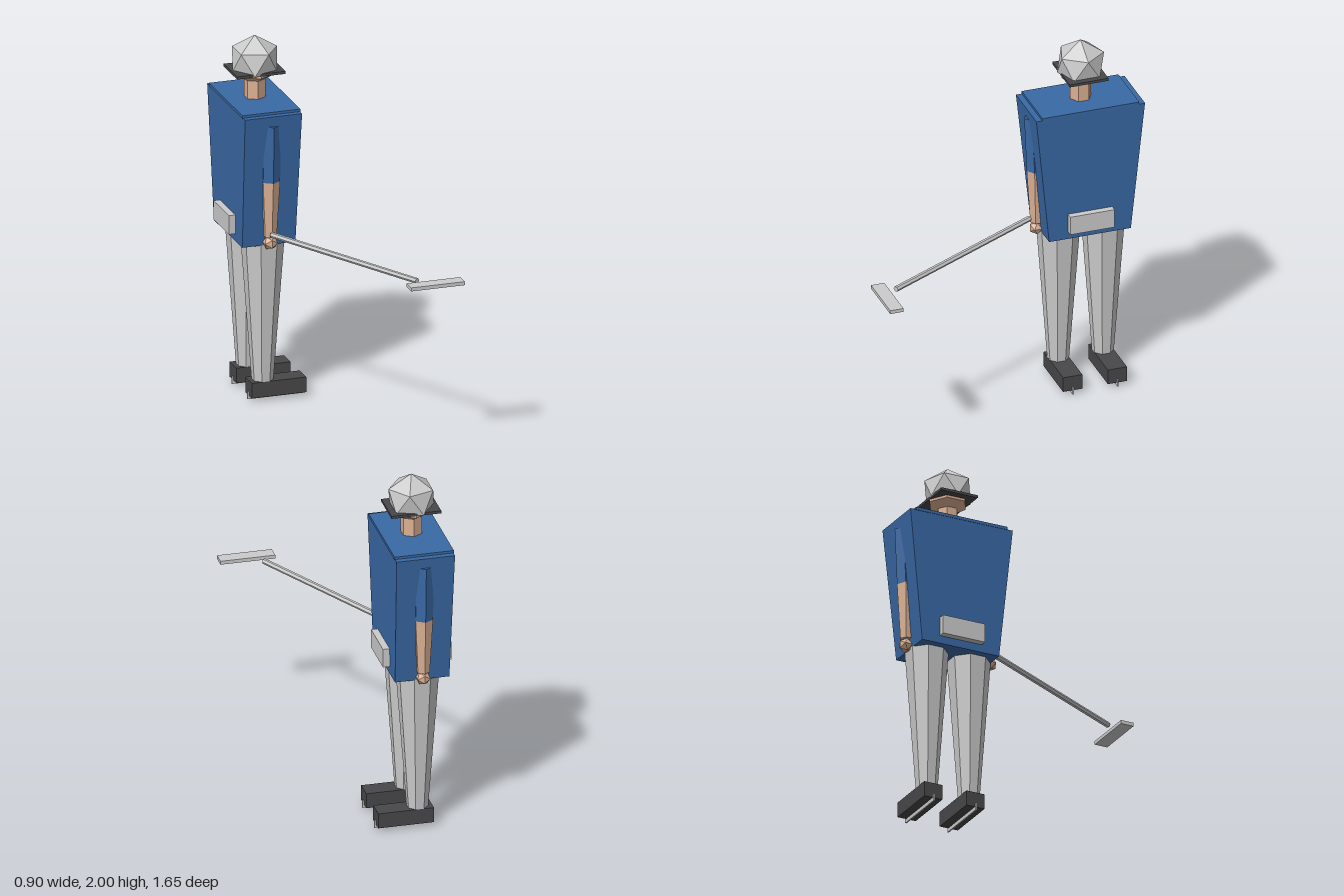
import * as THREE from 'three';
import { ConvexGeometry } from 'three/addons/geometries/ConvexGeometry.js';

const mat = (name, color) => {
  const m = new THREE.MeshStandardMaterial({ color, flatShading: true });
  m.name = name;
  return m;
};

export function createModel() {
  const blue = mat('jersey blue', 0x3a69a6);
  const grey = mat('light grey', 0xcccccc);
  const skin = mat('skin', 0xdcb194);
  const dark = mat('dark grey', 0x48484a);

  const model = new THREE.Group();
  model.name = 'stickPlayer';
  // The body faces +x; its parts are placed around its own vertical axis.
  const body = new THREE.Group();
  body.name = 'body';
  body.position.set(-0.267, 0, -0.507);
  model.add(body);

  const add = (parent, name, geometry, material, x = 0, y = 0, z = 0) => {
    const mesh = new THREE.Mesh(geometry, material);
    mesh.name = name;
    mesh.position.set(x, y, z);
    parent.add(mesh);
    return mesh;
  };
  const box = (parent, name, material, w, h, d, x, y, z) =>
    add(parent, name, new THREE.BoxGeometry(w, h, d), material, x, y, z);
  // Faceted rod between two points, rA at a and rB at b
  const rod = (parent, name, material, a, b, rA, rB, sides = 6) => {
    const A = new THREE.Vector3(...a), B = new THREE.Vector3(...b);
    const dir = B.clone().sub(A);
    const mesh = add(parent, name, new THREE.CylinderGeometry(rB, rA, dir.length(), sides), material);
    mesh.position.copy(A).add(B).multiplyScalar(0.5);
    mesh.quaternion.setFromUnitVectors(new THREE.Vector3(0, 1, 0), dir.normalize());
    return mesh;
  };

  // Torso: box narrowing towards the waist
  const torso = new THREE.BoxGeometry(0.32, 0.746, 0.612);
  const p = torso.attributes.position;
  for (let i = 0; i < p.count; i++) {
    if (p.getY(i) < 0) {
      p.setX(i, p.getX(i) * 0.93);
      p.setZ(i, p.getZ(i) * 0.752);
    }
  }
  torso.computeVertexNormals();
  add(body, 'torso', torso, blue, 0, 1.268, 0);
  box(body, 'shoulderYoke', blue, 0.325, 0.017, 0.545, 0, 1.6465, 0);
  box(body, 'hipPad', grey, 0.375, 0.106, 0.25, 0, 0.992, 0);

  // Arms and legs, mirrored
  for (const s of [1, -1]) {
    const side = s > 0 ? 'left' : 'right';
    rod(body, side + 'Sleeve', blue, [0, 1.265, s * 0.248], [0, 1.585, s * 0.262], 0.055, 0.055);
    rod(body, side + 'Forearm', skin, [0, 0.95, s * 0.246], [0, 1.265, s * 0.248], 0.037, 0.055);
    add(body, side + 'Hand', new THREE.IcosahedronGeometry(0.041), skin, 0, 0.915, s * 0.25);

    const z = s * 0.126;
    const leg = add(body, side + 'Leg', new THREE.CylinderGeometry(0.117, 0.058, 0.8, 8), grey, 0, 0.5, z);
    leg.rotation.y = Math.PI / 8;
    box(body, side + 'Boot', dark, 0.305, 0.085, 0.108, 0.075, 0.063, z);
    box(body, side + 'BootBlade', grey, 0.322, 0.042, 0.008, 0.075, 0.021, z);
  }

  // Neck and jaw
  rod(body, 'neck', skin, [0, 1.64, 0], [0, 1.78, 0], 0.058, 0.058);
  const jaw = [[0, 1.755], [0.055, 1.755], [0.108, 1.787], [0.108, 1.803]];
  add(body, 'jaw', new THREE.LatheGeometry(jaw.map(q => new THREE.Vector2(...q)), 6), skin);

  // Brim and faceted helmet: a point, an upper and a lower ring of five
  box(body, 'helmetBrim', dark, 0.272, 0.015, 0.218, 0, 1.808, 0);
  const points = [new THREE.Vector3(0, 2, 0)];
  for (let i = 0; i < 5; i++) {
    const a = (i * Math.PI * 2) / 5;
    points.push(new THREE.Vector3(Math.cos(a) * 0.125, 1.923, Math.sin(a) * 0.125));
    points.push(new THREE.Vector3(-Math.cos(a) * 0.124, 1.804, -Math.sin(a) * 0.124));
  }
  add(body, 'helmet', new ConvexGeometry(points), grey);

  // Stick
  rod(model, 'stickShaft', grey, [-0.27, 0.97, -0.22], [0.222, 0.97, 0.71], 0.0155, 0.0155);
  box(model, 'stickBlade', grey, 0.3, 0.02, 0.075, 0.3, 0.968, 0.787);

  return model;
}
